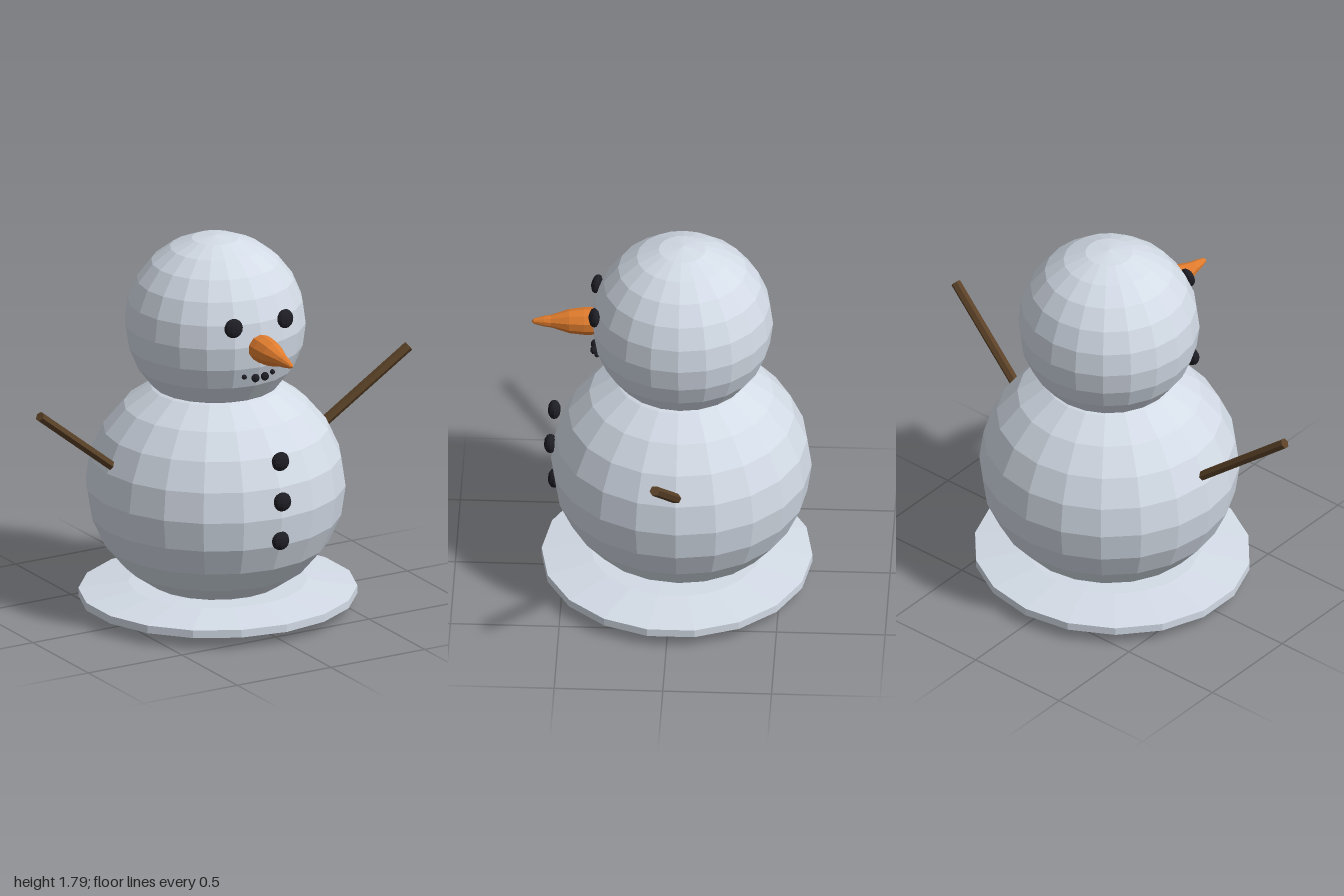
import * as THREE from 'three';

const mat = (name, color) => {
  const m = new THREE.MeshStandardMaterial({ color, flatShading: true });
  m.name = name;
  return m;
};

export function createModel() {
  const model = new THREE.Group();
  model.name = 'snowman';
  const snow = mat('snow', 0xd3dbe6);
  const coal = mat('coal', 0x1d1d24);
  const carrot = mat('carrot', 0xe07c2e);
  const wood = mat('wood', 0x5a4127);

  const add = (name, geometry, material, x = 0, y = 0, z = 0) => {
    const mesh = new THREE.Mesh(geometry, material);
    mesh.name = name;
    mesh.position.set(x, y, z);
    model.add(mesh);
    return mesh;
  };
  const lathe = (points, sides) =>
    new THREE.LatheGeometry(points.map(([r, y]) => new THREE.Vector2(r, y)), sides);

  // Snow disc with gently sloped top and underside
  const base = add('base', lathe([
    [0, 0], [0.25, 0.01], [0.4, 0.025], [0.623, 0.055],
    [0.623, 0.092], [0.4, 0.125], [0, 0.13],
  ], 18), snow, 0, 0, -0.02);
  base.scale.x = 1.04;

  // Snowballs, the lower one a little squashed
  add('body', new THREE.SphereGeometry(0.6, 20, 12), snow, 0, 0.594, -0.04).scale.y = 0.91;
  add('head', new THREE.SphereGeometry(0.418, 20, 12), snow, 0, 1.377, -0.044);

  // Flattened coal pebbles
  const pebble = (name, x, y, z, r, depth, yaw = 0, pitch = 0) => {
    const p = add(name, new THREE.SphereGeometry(r, 10, 8), coal, x, y, z);
    p.scale.z = depth / r;
    p.rotation.set(pitch, yaw, 0);
  };
  pebble('topButton', 0, 0.866, 0.545, 0.045, 0.03);
  pebble('middleButton', 0, 0.675, 0.563, 0.045, 0.03);
  pebble('bottomButton', 0, 0.482, 0.545, 0.045, 0.03);

  // Carrot nose pointing forward, drooping slightly
  const nose = add('nose', lathe([
    [0, 0], [0.056, 0], [0.063, 0.14], [0.064, 0.2], [0.056, 0.27],
    [0.029, 0.355], [0.025, 0.385], [0.012, 0.435], [0, 0.445],
  ], 10), carrot, 0, 1.372, 0.205);
  nose.rotation.x = Math.PI / 2 + 0.035;

  for (const s of [1, -1]) {
    const side = s > 0 ? 'left' : 'right';
    pebble(side + 'Eye', s * 0.138, 1.48, 0.355, 0.045, 0.025, s * 0.2, -0.12);
    pebble(side + 'InnerMouth', s * 0.025, 1.222, 0.362, 0.02, 0.016);
    pebble(side + 'OuterMouth', s * 0.075, 1.23, 0.345, 0.012, 0.012);

    // Stick arm between shoulder and tip
    const from = new THREE.Vector3(s * 0.555, 0.77, -0.042);
    const to = new THREE.Vector3(s * 0.985, 1.107, 0.038);
    const dir = to.clone().sub(from);
    const arm = add(side + 'Arm', new THREE.CylinderGeometry(0.024, 0.024, dir.length(), 6), wood);
    arm.position.copy(from).add(to).multiplyScalar(0.5);
    arm.quaternion.setFromUnitVectors(new THREE.Vector3(0, 1, 0), dir.normalize());
  }
  return model;
}
